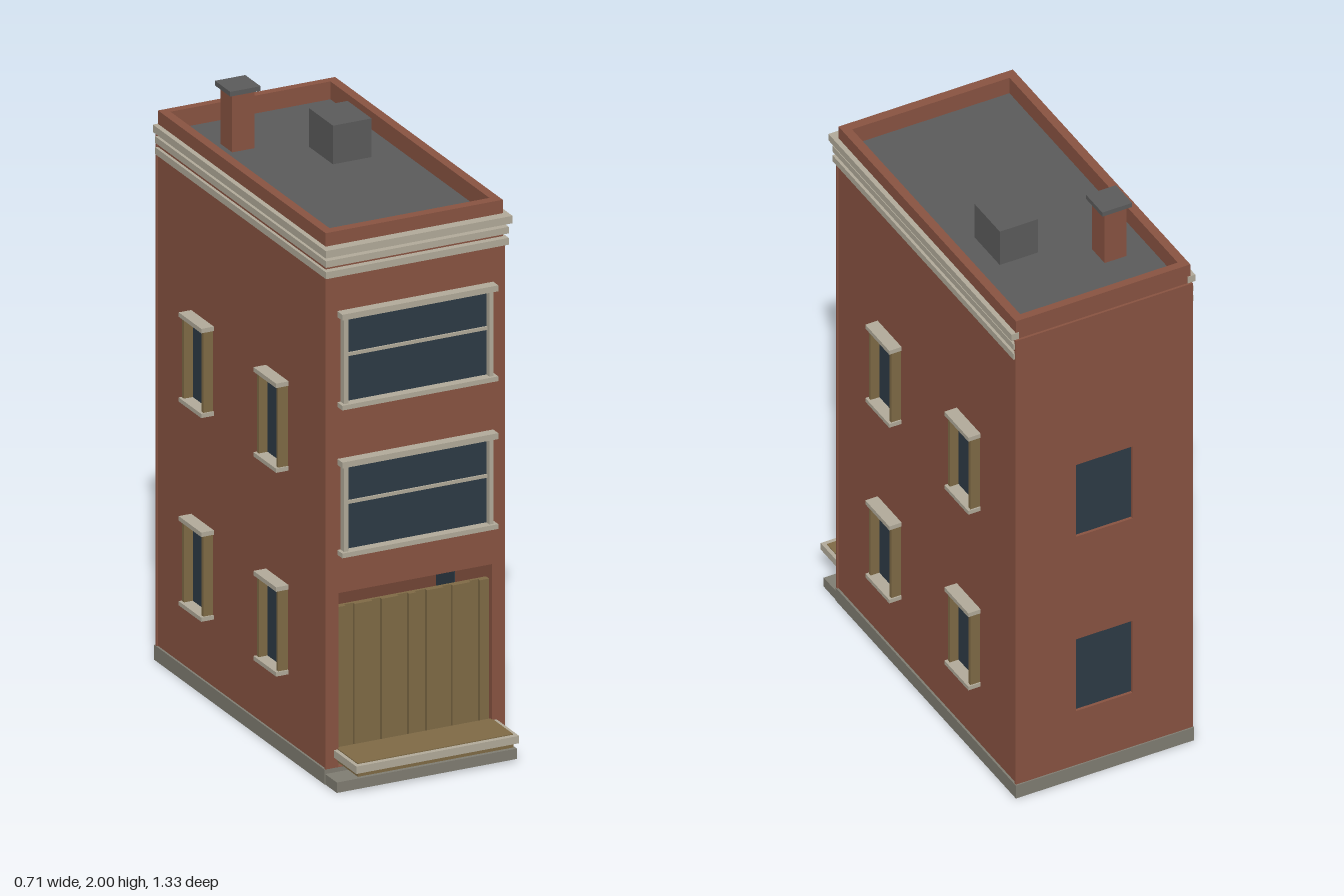
import * as THREE from 'three';

const mat = (name, color) => {
  const m = new THREE.MeshStandardMaterial({ color });
  m.name = name;
  return m;
};

export function createModel() {
  const house = new THREE.Group();
  house.name = 'townhouse';
  const brick = mat('brick', 0x8a5442);
  const cream = mat('cream stone', 0xb3ac9b);
  const wood = mat('brown wood', 0x806b46);
  const glass = mat('window glass', 0x2e3b46);
  const stone = mat('base stone', 0x817e73);
  const roofGrey = mat('roof grey', 0x5c5c5c);

  // Box given by its limits on each axis
  const box = (name, m, [x0, x1], [y0, y1], [z0, z1], parent = house) => {
    const mesh = new THREE.Mesh(new THREE.BoxGeometry(x1 - x0, y1 - y0, z1 - z0), m);
    mesh.position.set((x0 + x1) / 2, (y0 + y1) / 2, (z0 + z1) / 2);
    mesh.name = name;
    parent.add(mesh);
    return mesh;
  };

  // Wall in the xy plane with rectangular openings [x0, x1, y0, y1]
  const rect = (path, x0, x1, y0, y1) => {
    path.moveTo(x0, y0).lineTo(x1, y0).lineTo(x1, y1).lineTo(x0, y1).closePath();
    return path;
  };
  const wall = (name, half, top, z0, z1, holes) => {
    const shape = rect(new THREE.Shape(), -half, half, 0.05, top);
    holes.forEach((h) => shape.holes.push(rect(new THREE.Path(), ...h)));
    const geo = new THREE.ExtrudeGeometry(shape, { depth: z1 - z0, bevelEnabled: false });
    const mesh = new THREE.Mesh(geo, brick);
    mesh.position.z = z0;
    mesh.name = name;
    house.add(mesh);
  };

  // Foundation and front step
  box('foundation', stone, [-0.317, 0.317], [0, 0.05], [-0.665, 0.51]);
  box('frontStep', stone, [-0.315, 0.315], [0, 0.035], [0.51, 0.59]);

  // Hollow brick shell with a parapet around the roof
  const doorway = [[-0.268, 0.268, 0.051, 0.635]];
  const backOpenings = [[-0.1, 0.1, 0.26, 0.54], [-0.1, 0.1, 0.94, 1.22]];
  wall('frontWall', 0.31, 1.85, 0.47, 0.503, doorway);
  wall('frontFacing', 0.315, 1.71, 0.503, 0.51, doorway);
  wall('backWall', 0.31, 1.85, -0.652, -0.625, backOpenings);
  wall('backFacing', 0.315, 1.78, -0.66, -0.652, backOpenings);
  for (const s of [-1, 1]) {
    const x = s > 0 ? [0.28, 0.31] : [-0.31, -0.28];
    box('sideWall', brick, x, [0.05, 1.85], [-0.625, 0.47]);
  }
  box('roof', roofGrey, [-0.28, 0.28], [1.76, 1.79], [-0.625, 0.47]);

  // Cornice: three bands along the front and both sides
  const cornice = new THREE.Group();
  cornice.name = 'cornice';
  house.add(cornice);
  for (const [y0, y1, x, z] of [[1.705, 1.728, 0.32, 0.525], [1.743, 1.765, 0.32, 0.525], [1.78, 1.805, 0.327, 0.537]]) {
    box('corniceFront', cream, [-x, x], [y0, y1], [0.5, z], cornice);
    box('corniceSide', cream, [0.3, x], [y0, y1], [-0.654, 0.5], cornice);
    box('corniceSide', cream, [-x, -0.3], [y0, y1], [-0.654, 0.5], cornice);
  }

  // Wide front windows
  for (const y of [0.765, 1.262]) {
    const w = new THREE.Group();
    w.name = 'frontWindow';
    house.add(w);
    box('glass', glass, [-0.25, 0.25], [y + 0.015, y + 0.305], [0.507, 0.514], w);
    box('sill', cream, [-0.273, 0.273], [y, y + 0.016], [0.505, 0.545], w);
    box('lintel', cream, [-0.273, 0.273], [y + 0.302, y + 0.322], [0.505, 0.545], w);
    box('jamb', cream, [-0.262, -0.247], [y + 0.016, y + 0.302], [0.505, 0.535], w);
    box('jamb', cream, [0.247, 0.262], [y + 0.016, y + 0.302], [0.505, 0.535], w);
    box('crossBar', cream, [-0.247, 0.247], [y + 0.168, y + 0.179], [0.51, 0.52], w);
  }

  // Side windows with deep wooden jambs
  for (const s of [-1, 1]) {
    const span = (a, b) => (s > 0 ? [a, b] : [-b, -a]);
    for (const z of [0.17, -0.345]) {
      for (const y of [0.276, 0.961]) {
        const w = new THREE.Group();
        w.name = 'sideWindow';
        house.add(w);
        box('glass', glass, span(0.277, 0.313), [y + 0.014, y + 0.285], [z - 0.063, z + 0.063], w);
        box('sill', cream, span(0.305, 0.354), [y, y + 0.014], [z - 0.078, z + 0.078], w);
        box('lintel', cream, span(0.305, 0.354), [y + 0.285, y + 0.3], [z - 0.078, z + 0.078], w);
        box('jamb', wood, span(0.305, 0.344), [y + 0.014, y + 0.285], [z - 0.073, z - 0.061], w);
        box('jamb', wood, span(0.305, 0.344), [y + 0.014, y + 0.285], [z + 0.061, z + 0.073], w);
      }
    }
  }

  // Recessed back windows
  for (const [x0, x1, y0, y1] of backOpenings) {
    box('backWindow', glass, [x0, x1], [y0, y1], [-0.65, -0.642]);
  }

  // Boarded door set back in its opening, lower than the opening
  const door = new THREE.Group();
  door.name = 'boardedDoor';
  house.add(door);
  box('doorBacking', wood, [-0.268, 0.268], [0.05, 0.58], [0.47, 0.48], door);
  for (const [a, b] of [[0.235, 0.268], [0.14, 0.203], [0.05, 0.108]]) {
    box('board', wood, [a, b], [0.05, 0.58], [0.48, 0.492], door);
    box('board', wood, [-b, -a], [0.05, 0.58], [0.48, 0.492], door);
  }
  box('board', wood, [-0.013, 0.013], [0.05, 0.58], [0.48, 0.492], door);

  // Front platform: cream edge, wooden deck and underside
  box('platformEdge', cream, [-0.285, 0.285], [0.085, 0.11], [0.5, 0.665]);
  box('platformDeck', wood, [-0.272, 0.272], [0.106, 0.113], [0.5, 0.648]);
  box('platformUnderside', wood, [-0.272, 0.272], [0.068, 0.085], [0.5, 0.65]);

  // Chimney and roof box
  box('chimney', brick, [-0.195, -0.117], [1.78, 1.985], [-0.448, -0.367]);
  box('chimneyCap', roofGrey, [-0.208, -0.102], [1.984, 2], [-0.46, -0.355]);
  box('roofBox', roofGrey, [0.04, 0.175], [1.78, 1.92], [-0.3, -0.135]);

  return house;
}
